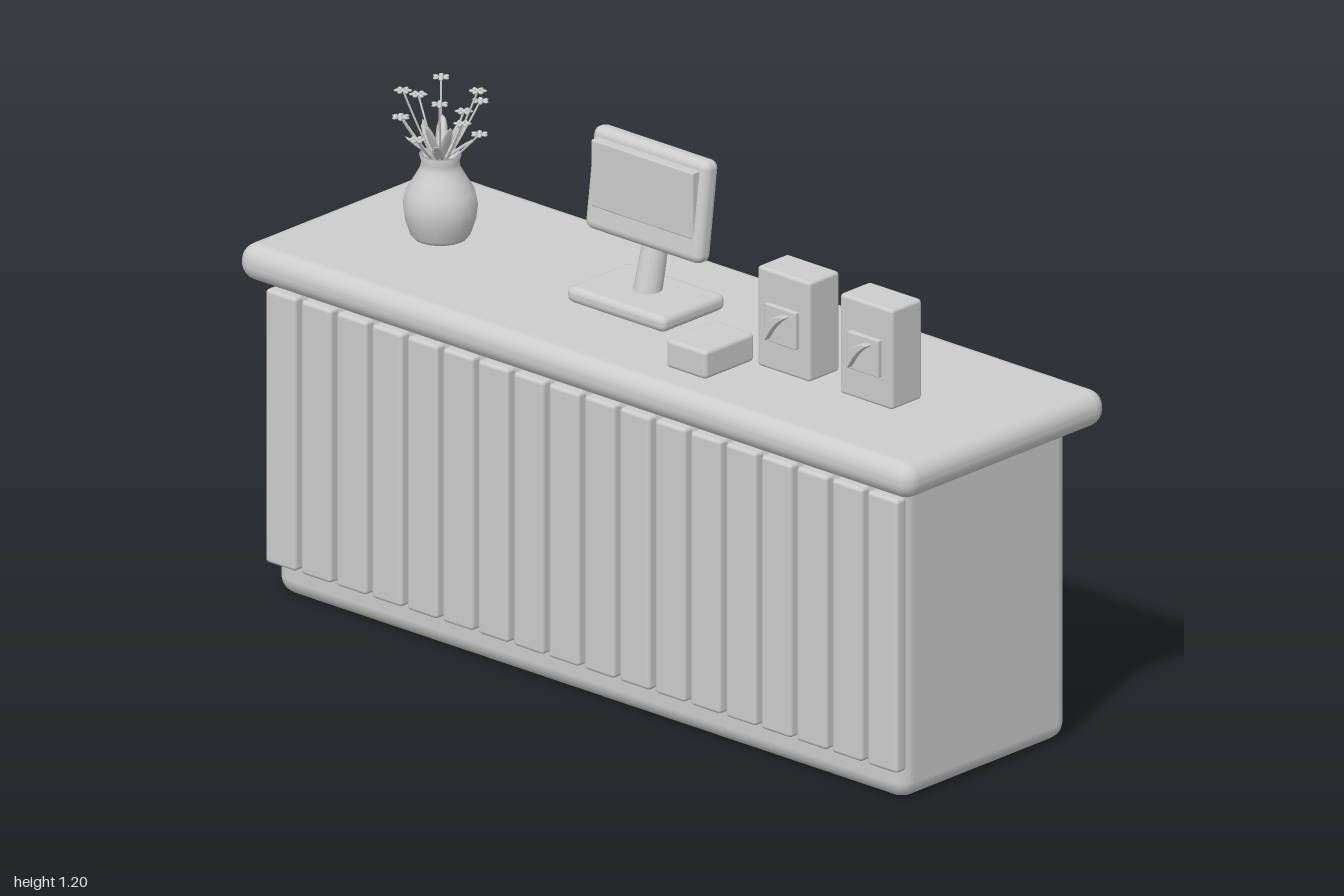
import * as THREE from 'three';
import { RoundedBoxGeometry } from 'three/addons/geometries/RoundedBoxGeometry.js';

const grey = new THREE.MeshStandardMaterial({ color: 0xcccccc });
grey.name = 'plain grey';

function add(parent, name, geometry, x = 0, y = 0, z = 0) {
  const mesh = new THREE.Mesh(geometry, grey);
  mesh.name = name;
  mesh.position.set(x, y, z);
  parent.add(mesh);
  return mesh;
}

// Rounded box given by its limits on each axis
function block(parent, name, [x0, x1], [y0, y1], [z0, z1], radius, segments = 2) {
  const geometry = new RoundedBoxGeometry(x1 - x0, y1 - y0, z1 - z0, segments, radius);
  return add(parent, name, geometry, (x0 + x1) / 2, (y0 + y1) / 2, (z0 + z1) / 2);
}

function group(parent, name, x = 0, y = 0, z = 0) {
  const g = new THREE.Group();
  g.name = name;
  g.position.set(x, y, z);
  parent.add(g);
  return g;
}

function buildCounter(parent) {
  const counter = group(parent, 'counter');
  block(counter, 'body', [-0.935, 0.935], [0, 0.77], [-0.27, 0.27], 0.04);
  block(counter, 'worktop', [-1, 1], [0.735, 0.82], [-0.327, 0.327], 0.04, 3);
  // Upright slats across the front
  for (let i = 0; i < 18; i++) {
    const x = (i - 8.5) * 0.1052;
    block(counter, 'slat', [x - 0.045, x + 0.045], [0.077, 0.72], [0.262, 0.295], 0.009);
  }
}

function buildMonitor(parent) {
  const monitor = group(parent, 'monitor', -0.08);
  block(monitor, 'base', [-0.146, 0.146], [0.822, 0.86], [-0.105, 0.1], 0.016);
  const neck = add(monitor, 'neck', new THREE.CylinderGeometry(0.028, 0.033, 0.18, 16), 0, 0.925, -0.025);
  neck.rotation.x = -0.24;
  const casing = block(monitor, 'casing', [-0.172, 0.172], [0.962, 1.198], [-0.046, 0.002], 0.02, 3);
  casing.rotation.x = -0.13;
  block(monitor, 'screen', [-0.152, 0.152], [1.02, 1.177], [-0.02, 0.011], 0.004, 1);
}

// Crescent leaf that curves out of its plate
function crescentGeometry() {
  const s = new THREE.Shape();
  s.moveTo(-0.03, -0.034);
  s.bezierCurveTo(-0.034, 0.005, -0.01, 0.028, 0.028, 0.03);
  s.bezierCurveTo(0.004, 0.016, -0.014, -0.002, -0.03, -0.034);
  return new THREE.ExtrudeGeometry(s, {
    depth: 0.012, bevelEnabled: true, bevelSize: 0.002, bevelThickness: 0.005,
    bevelSegments: 2, curveSegments: 8,
  });
}

function buildCanisters(parent) {
  const crescent = crescentGeometry();
  for (const x of [0.418, 0.663]) {
    const canister = group(parent, 'canister', x);
    block(canister, 'canisterBox', [-0.078, 0.078], [0.822, 1.057], [-0.003, 0.095], 0.008);
    block(canister, 'badgePlate', [-0.047, 0.047], [0.893, 0.98], [0.09, 0.106], 0.003, 1);
    add(canister, 'badgeLeaf', crescent, 0, 0.938, 0.106);
  }
  block(parent, 'smallBox', [0.212, 0.331], [0.829, 0.896], [0.092, 0.252], 0.01);
}

function buildVase(parent) {
  const plant = group(parent, 'vaseWithFlowers', -0.692, 0, -0.004);
  const profile = [
    [0, 0.822], [0.06, 0.823], [0.067, 0.832], [0.079, 0.868], [0.083, 0.9], [0.076, 0.932],
    [0.058, 0.962], [0.045, 0.985], [0.042, 1.0], [0.047, 1.017], [0.041, 1.018],
    [0.036, 1.0], [0, 0.995],
  ].map(([r, y]) => new THREE.Vector2(r, y));
  add(plant, 'vase', new THREE.LatheGeometry(profile, 20));

  // Pointed leaves fanning out of the neck
  const leafGeo = new THREE.SphereGeometry(1, 6, 6);
  leafGeo.scale(0.014, 0.052, 0.004);
  leafGeo.translate(0, 0.05, 0);
  for (let i = 0; i < 10; i++) {
    const turn = group(plant, 'leafTurn', 0, 1.0, 0);
    turn.rotation.y = (i / 10) * Math.PI * 2;
    const leaf = add(turn, 'leaf', leafGeo);
    leaf.rotation.x = i % 2 ? 0.9 : 0.45;
  }

  // Flowers on thin stems at three heights
  const petalGeo = new THREE.SphereGeometry(1, 6, 4);
  petalGeo.scale(0.008, 0.003, 0.006);
  const heartGeo = new THREE.SphereGeometry(0.006, 8, 5);
  const heights = [1.083, 1.165, 1.122];
  const reaches = [0.1, 0.082, 0.1];
  for (let i = 0; i < 12; i++) {
    const angle = (i / 12) * Math.PI * 2 + 0.2;
    const flower = group(plant, 'flower');
    flower.rotation.y = angle;
    const h = heights[i % 3], r = reaches[i % 3];
    const path = new THREE.QuadraticBezierCurve3(
      new THREE.Vector3(0.01, 0.99, 0),
      new THREE.Vector3(r * 0.6, (0.99 + h) / 2, 0),
      new THREE.Vector3(r, h, 0));
    add(flower, 'stem', new THREE.TubeGeometry(path, 5, 0.0025, 5));
    add(flower, 'flowerHeart', heartGeo, r, h, 0).scale.y = 0.6;
    for (let p = 0; p < 6; p++) {
      const a = (p / 6) * Math.PI * 2;
      const petal = add(flower, 'petal', petalGeo, r + Math.cos(a) * 0.013, h, Math.sin(a) * 0.013);
      petal.rotation.y = -a;
    }
  }
}

export function createModel() {
  const model = new THREE.Group();
  model.name = 'receptionCounter';
  buildCounter(model);
  buildMonitor(model);
  buildCanisters(model);
  buildVase(model);
  return model;
}
